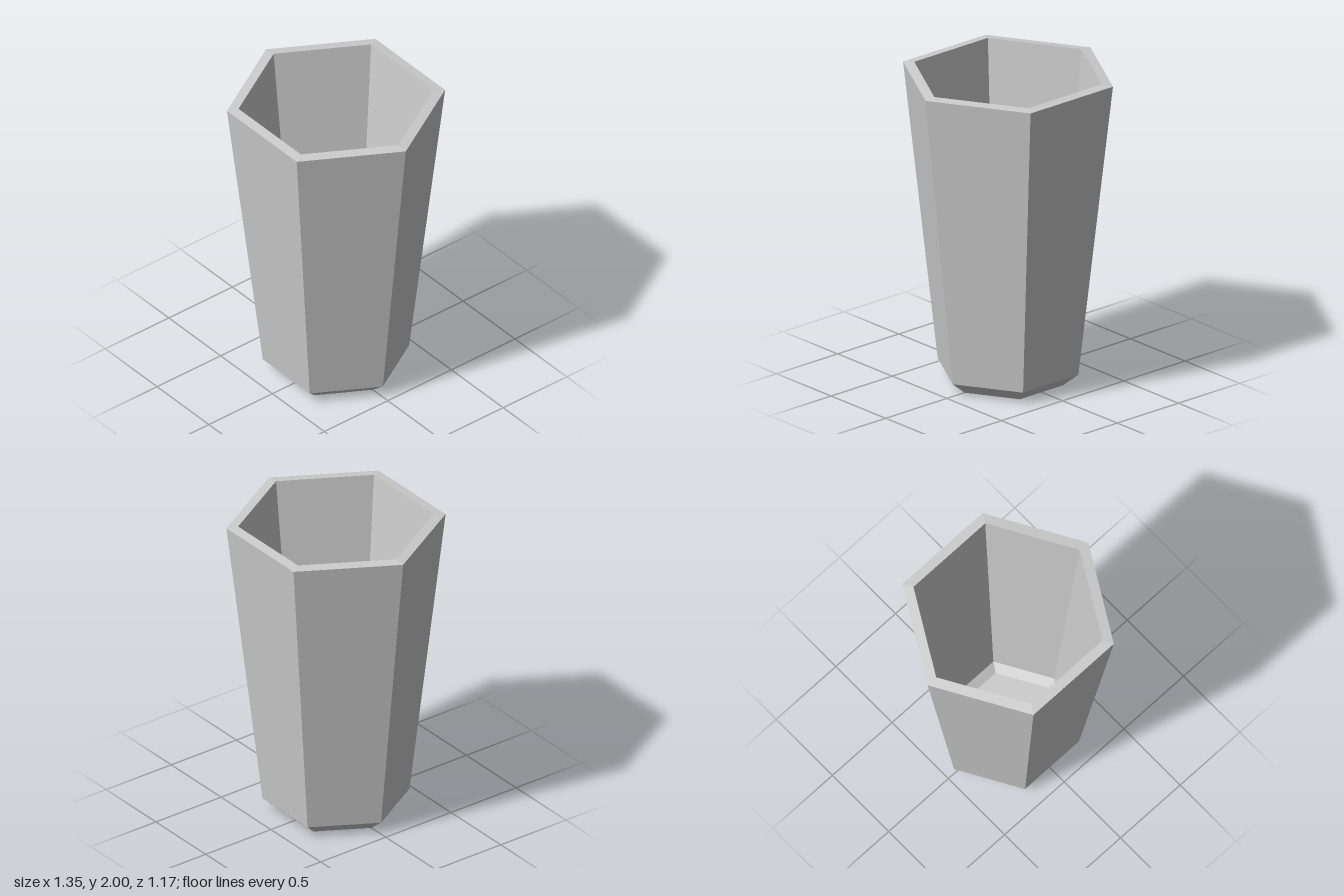
import * as THREE from 'three';

const SIDES = 6;

export function createModel() {
  const group = new THREE.Group();
  group.name = 'hexagonalCup';
  const material = new THREE.MeshStandardMaterial({ color: 0xcccccc, flatShading: true });

  // Corner radius and height, from the base centre up the outside and down the inside
  const profile = [
    [0, 0], [0.355, 0],         // underside
    [0.452, 0.08],              // bottom chamfer
    [0.674, 1.993],             // outer wall
    [0.602, 2],                 // rim
    [0.388, 0.11],              // inner wall
    [0.329, 0.062], [0, 0.062], // inner chamfer and floor
  ].map(([r, y]) => new THREE.Vector2(r, y));

  // Six-sided turn with corners on the x axis, split for flat faces
  const geometry = new THREE.LatheGeometry(profile, SIDES, Math.PI / 2).toNonIndexed();
  geometry.computeVertexNormals();

  const cup = new THREE.Mesh(geometry, material);
  cup.name = 'cupShell';
  group.add(cup);
  return group;
}
